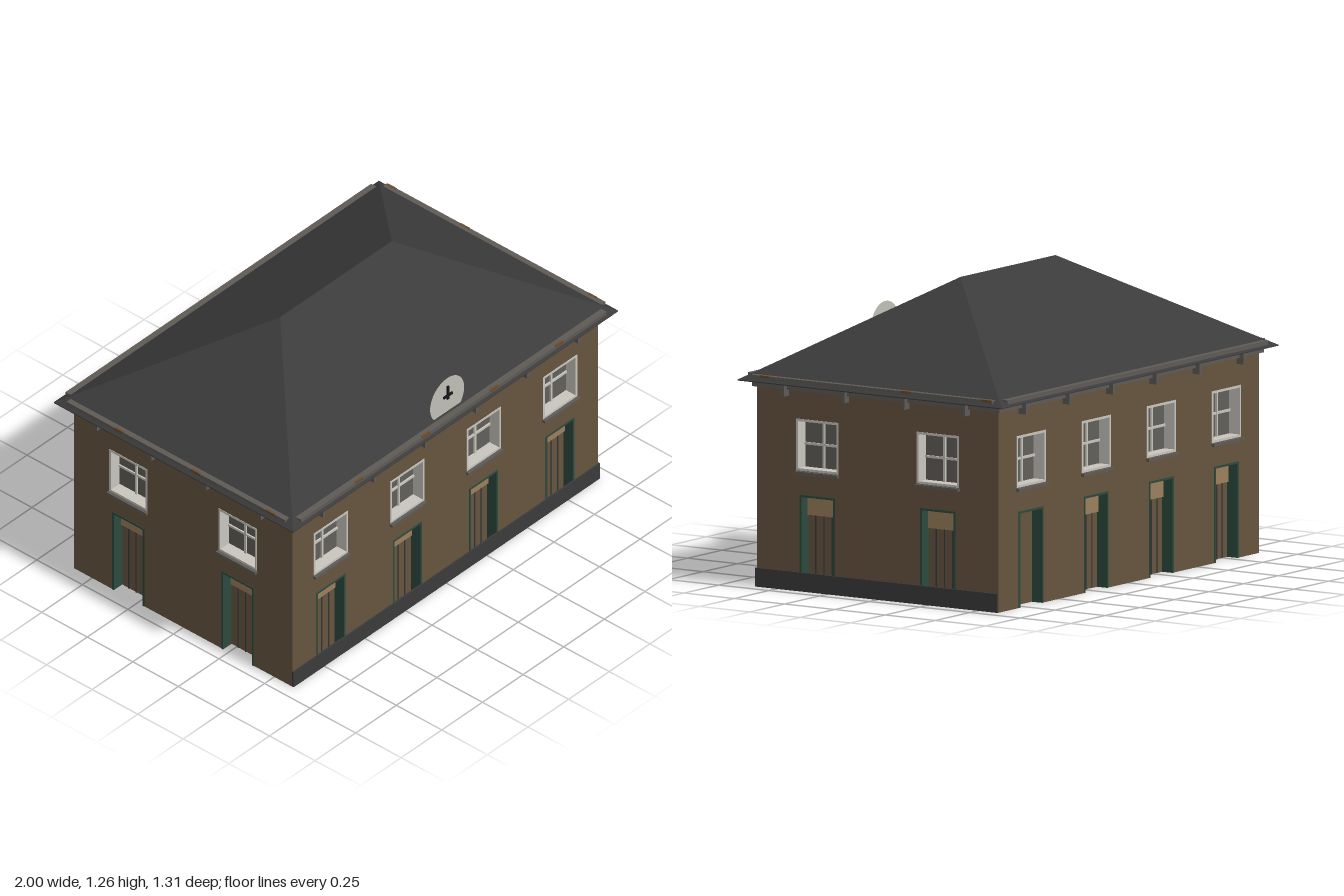
import * as THREE from 'three';
import { ConvexGeometry } from 'three/addons/geometries/ConvexGeometry.js';

const mat = (name, color, side = THREE.FrontSide) => {
  const m = new THREE.MeshStandardMaterial({ color, side });
  m.name = name;
  return m;
};

export function createModel() {
  const model = new THREE.Group();
  model.name = 'house';
  const brown = mat('wallBrown', 0x66553f);
  const slate = mat('slate', 0x3b3b3b);
  const stone = mat('gutterGrey', 0x5e5a56);
  const white = mat('frameWhite', 0xc8c6be);
  const glass = mat('glass', 0x625f5a);
  const green = mat('doorGreen', 0x2c4a3e);
  const tan = mat('tanPanel', 0x9a805c);
  const rust = mat('rust', 0x6b4a26);
  const dial = mat('dialGrey', 0xc0c0b6, THREE.DoubleSide);
  const black = mat('handBlack', 0x161616);

  const add = (parent, name, geo, material) => {
    const m = new THREE.Mesh(geo, material);
    m.name = name;
    parent.add(m);
    return m;
  };
  // Box given by its limits on each axis
  const box = (parent, name, material, [x0, x1], [y0, y1], [z0, z1]) => {
    const m = add(parent, name, new THREE.BoxGeometry(x1 - x0, y1 - y0, z1 - z0), material);
    m.position.set((x0 + x1) / 2, (y0 + y1) / 2, (z0 + z1) / 2);
    return m;
  };
  const extrude = (shape, depth, z) =>
    new THREE.ExtrudeGeometry(shape, { depth, bevelEnabled: false }).translate(0, 0, z);
  const rect = (C, x0, x1, y0, y1) => {
    const p = new C();
    p.moveTo(x0, y0);
    p.lineTo(x1, y0);
    p.lineTo(x1, y1);
    p.lineTo(x0, y1);
    p.closePath();
    return p;
  };

  const WIN = { w: 0.105, y0: 0.5, y1: 0.715 };
  const DOOR = { w: 0.088, y1: 0.4 };

  // Recessed sash window with deep frame, glazing bars and sill
  function makeWindow(parent, x) {
    const g = new THREE.Group();
    g.name = 'window';
    g.position.x = x;
    parent.add(g);
    const { w, y0, y1 } = WIN, t = 0.01, mid = (y0 + y1) / 2;
    const s = rect(THREE.Shape, -w, w, y0, y1);
    s.holes.push(rect(THREE.Path, -w + t, w - t, y0 + t, y1 - t));
    add(g, 'windowFrame', extrude(s, 0.062, -0.06), white);
    box(g, 'windowGlass', glass, [-w + t, w - t], [y0 + t, y1 - t], [-0.06, -0.052]);
    box(g, 'verticalBar', white, [-0.005, 0.005], [y0 + t, y1 - t], [-0.052, -0.044]);
    box(g, 'crossBar', white, [-w + t, w - t], [mid - 0.005, mid + 0.005], [-0.052, -0.045]);
    box(g, 'windowSill', stone, [-w - 0.003, w + 0.003], [0.486, 0.498], [-0.02, 0.015]);
  }

  // Recessed door with green surround, upper panel and plank gaps
  function makeDoor(parent, x, plain) {
    const g = new THREE.Group();
    g.name = 'door';
    g.position.x = x;
    parent.add(g);
    const { w, y1 } = DOOR, t = 0.009;
    const s = new THREE.Shape();
    [[-w, 0], [-w + t, 0], [-w + t, y1 - t], [w - t, y1 - t], [w - t, 0], [w, 0], [w, y1], [-w, y1]]
      .forEach(([a, b], i) => (i ? s.lineTo(a, b) : s.moveTo(a, b)));
    add(g, 'doorFrame', extrude(s, 0.062, -0.06), green);
    box(g, 'doorLeaf', brown, [-w + t, w - t], [0, y1 - t], [-0.06, -0.05]);
    if (plain) return;
    box(g, 'upperPanel', tan, [-w + t, w - t], [0.312, y1 - t], [-0.05, -0.043]);
    for (const gx of [-0.041, 0, 0.041])
      box(g, 'plankGap', slate, [gx - 0.003, gx + 0.003], [0.0, 0.312], [-0.05, -0.047]);
  }

  // One side of the house, facing +z with its outer plane at z = 0
  function makeSide({ name, half, dist, turn, xs, brackets, rustAt, plainDoor }) {
    const g = new THREE.Group();
    g.name = name;
    g.rotation.y = turn;
    g.position.set(Math.sin(turn) * dist, 0, Math.cos(turn) * dist);
    model.add(g);

    const wall = new THREE.Shape();
    wall.moveTo(-half, 0);
    for (const x of xs) {
      wall.lineTo(x - DOOR.w, 0);
      wall.lineTo(x - DOOR.w, DOOR.y1);
      wall.lineTo(x + DOOR.w, DOOR.y1);
      wall.lineTo(x + DOOR.w, 0);
    }
    wall.lineTo(half, 0);
    wall.lineTo(half, 0.862);
    wall.lineTo(-half, 0.862);
    wall.closePath();
    for (const x of xs) wall.holes.push(rect(THREE.Path, x - WIN.w, x + WIN.w, WIN.y0, WIN.y1));
    add(g, 'wall', extrude(wall, 0.075, -0.075), brown);

    xs.forEach((x, i) => {
      makeWindow(g, x);
      makeDoor(g, x, i === plainDoor);
    });
    // Cornice, brackets and gutter
    box(g, 'cornice', stone, [-half - 0.015, half + 0.015], [0.832, 0.86], [0, 0.015]);
    for (const x of brackets)
      box(g, 'bracket', stone, [x - 0.008, x + 0.008], [0.806, 0.86], [0, 0.035]);
    box(g, 'gutter', stone, [-half, half], [0.864, 0.885], [0.005, 0.046]);
    for (const x of rustAt)
      box(g, 'rustPatch', rust, [x - 0.025, x + 0.025], [0.876, 0.886], [0.038, 0.047]);
  }

  const longXs = [-0.705, -0.235, 0.235, 0.705], shortXs = [-0.3, 0.3];
  const longBr = [-0.785, -0.47, -0.157, 0.157, 0.47, 0.785], shortBr = [-0.45, -0.15, 0.15, 0.45];
  const long = { half: 0.94, dist: 0.6, xs: longXs, brackets: longBr };
  const short = { half: 0.6, dist: 0.94, xs: shortXs, brackets: shortBr };
  makeSide({ ...long, name: 'frontSide', turn: 0, rustAt: [-0.58, -0.17, 0.25, 0.65] });
  makeSide({ ...long, name: 'backSide', turn: Math.PI, rustAt: [], plainDoor: 0 });
  makeSide({ ...short, name: 'rightSide', turn: Math.PI / 2, rustAt: [-0.53, 0.17, 0.57] });
  makeSide({ ...short, name: 'leftSide', turn: -Math.PI / 2, rustAt: [-0.31, 0.11, 0.52] });

  // Plinth along two sides, and floor
  box(model, 'frontPlinth', slate, [-0.94, 0.946], [0, 0.078], [0.598, 0.606]);
  box(model, 'sidePlinth', slate, [0.938, 0.946], [0, 0.078], [-0.598, 0.606]);
  box(model, 'floor', slate, [-0.866, 0.866], [0.004, 0.02], [-0.526, 0.526]);

  // Hipped roof
  const pts = [];
  for (const x of [-1, 1]) {
    for (const z of [-0.657, 0.657])
      for (const y of [0.857, 0.861]) pts.push(new THREE.Vector3(x, y, z));
    pts.push(new THREE.Vector3(0.343 * x, 1.26, 0));
  }
  add(model, 'roof', new ConvexGeometry(pts), slate);

  // Clock standing at the front eave
  const clock = new THREE.Group();
  clock.name = 'clock';
  clock.position.set(0, 0.955, 0.61);
  model.add(clock);
  add(clock, 'clockDial', new THREE.CircleGeometry(0.105, 32), dial);
  box(clock, 'minuteHand', black, [-0.005, 0.005], [0, 0.066], [0.001, 0.008]);
  box(clock, 'hourHand', black, [-0.027, 0.027], [0.014, 0.023], [0.001, 0.009]);
  return model;
}
